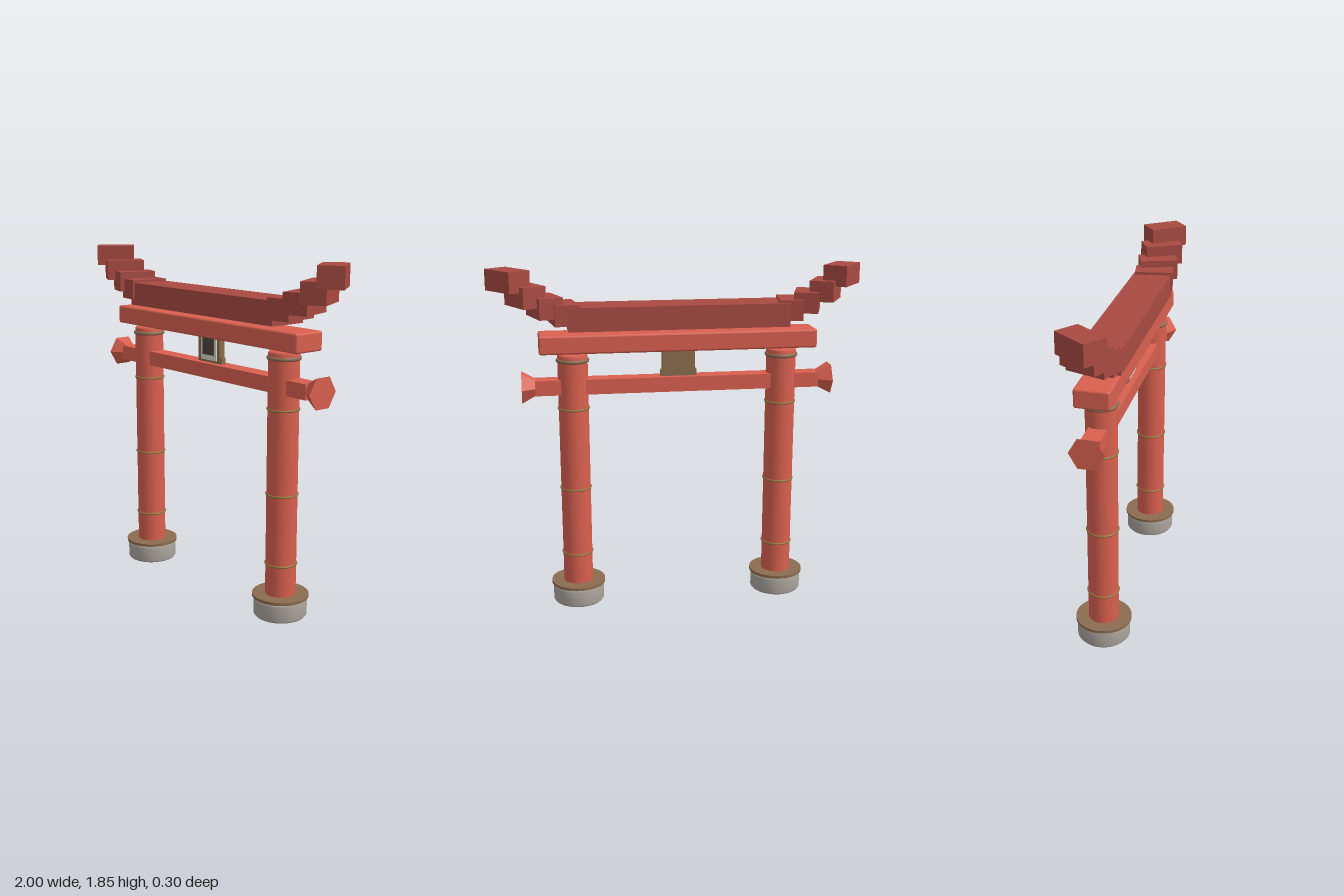
import * as THREE from 'three';
import { RoundedBoxGeometry } from 'three/addons/geometries/RoundedBoxGeometry.js';

const mat = (color, flatShading = false) => new THREE.MeshStandardMaterial({ color, flatShading });
const red = mat(0xd9604f);
const redFlat = mat(0xd9604f, true);
const roofRed = mat(0xa84a42, true);
const brass = mat(0x94733a);
const bronze = mat(0x8c6c50);
const stone = mat(0xaaa39b);
const wood = mat(0x8c6c4c);
const pale = mat(0xd6d6c8);
const dark = mat(0x4c443c);

function add(parent, name, geometry, material, x = 0, y = 0, z = 0) {
  const mesh = new THREE.Mesh(geometry, material);
  mesh.name = name;
  mesh.position.set(x, y, z);
  parent.add(mesh);
  return mesh;
}

const box = (w, h, d) => new THREE.BoxGeometry(w, h, d);
const ring = (radius, tube) => new THREE.TorusGeometry(radius, tube, 8, 40).rotateX(Math.PI / 2);

// Round column with stone foot, metal plate and bands
function pillar(side) {
  const g = new THREE.Group();
  g.name = side > 0 ? 'leftPillar' : 'rightPillar';
  g.position.x = side * 0.564;
  const foot = [[0, 0], [0.132, 0], [0.14, 0.01], [0.14, 0.088], [0.13, 0.1], [0, 0.1]];
  add(g, 'stoneFoot', new THREE.LatheGeometry(foot.map(p => new THREE.Vector2(...p)), 40), stone);
  add(g, 'footPlate', new THREE.CylinderGeometry(0.148, 0.148, 0.016, 40), bronze, 0, 0.111);
  add(g, 'shaft', new THREE.CylinderGeometry(0.08, 0.08, 1.245, 40), red, 0, 0.7375);
  for (const y of [0.285, 0.66, 1.105]) add(g, 'band', ring(0.08, 0.006), brass, 0, y);
  add(g, 'collar', ring(0.078, 0.011), bronze, 0, 1.365);
  const cap = [[0.08, 1.355], [0.08, 1.39], [0.074, 1.4], [0, 1.4]];
  add(g, 'pillarCap', new THREE.LatheGeometry(cap.map(p => new THREE.Vector2(...p)), 40), red);
  return g;
}

// Tablet between the two beams
function tablet() {
  const g = new THREE.Group();
  g.name = 'tablet';
  add(g, 'tabletFrame', box(0.175, 0.16, 0.036), wood, 0, 1.35, 0);
  add(g, 'tabletFoot', box(0.195, 0.035, 0.03), wood, 0, 1.282, -0.002);
  add(g, 'tabletBorder', box(0.13, 0.135, 0.008), pale, 0, 1.346, 0.018);
  add(g, 'tabletPanel', box(0.09, 0.106, 0.008), dark, 0, 1.36, 0.021);
  return g;
}

export function createModel() {
  const model = new THREE.Group();
  model.name = 'gate';

  // Horizontal beams
  add(model, 'tieBeam', box(1.53, 0.08, 0.094), redFlat, 0, 1.225);
  add(model, 'lowerLintel', new RoundedBoxGeometry(1.48, 0.1, 0.18, 2, 0.012), red, 0, 1.46);
  add(model, 'roofBeam', box(1.172, 0.125, 0.21), roofRed, 0, 1.5925);
  model.add(tablet());

  // Rising, progressively turned roof blocks: x, y
  const blocks = [[0.605, 1.615], [0.701, 1.652], [0.799, 1.71], [0.886, 1.79]];
  for (const side of [1, -1]) {
    model.add(pillar(side));

    // Flared hexagonal beam end
    const flare = new THREE.CylinderGeometry(0.09, 0.047, 0.075, 6).rotateZ(-side * Math.PI / 2);
    add(model, 'beamEnd', flare, redFlat, side * 0.7975, 1.225);

    blocks.forEach(([x, y], i) => {
      const block = add(model, 'roofBlock', box(0.13, 0.11, 0.21), roofRed, side * x, y);
      block.rotation.y = side * 0.16 * (i + 1);
    });
  }
  return model;
}
